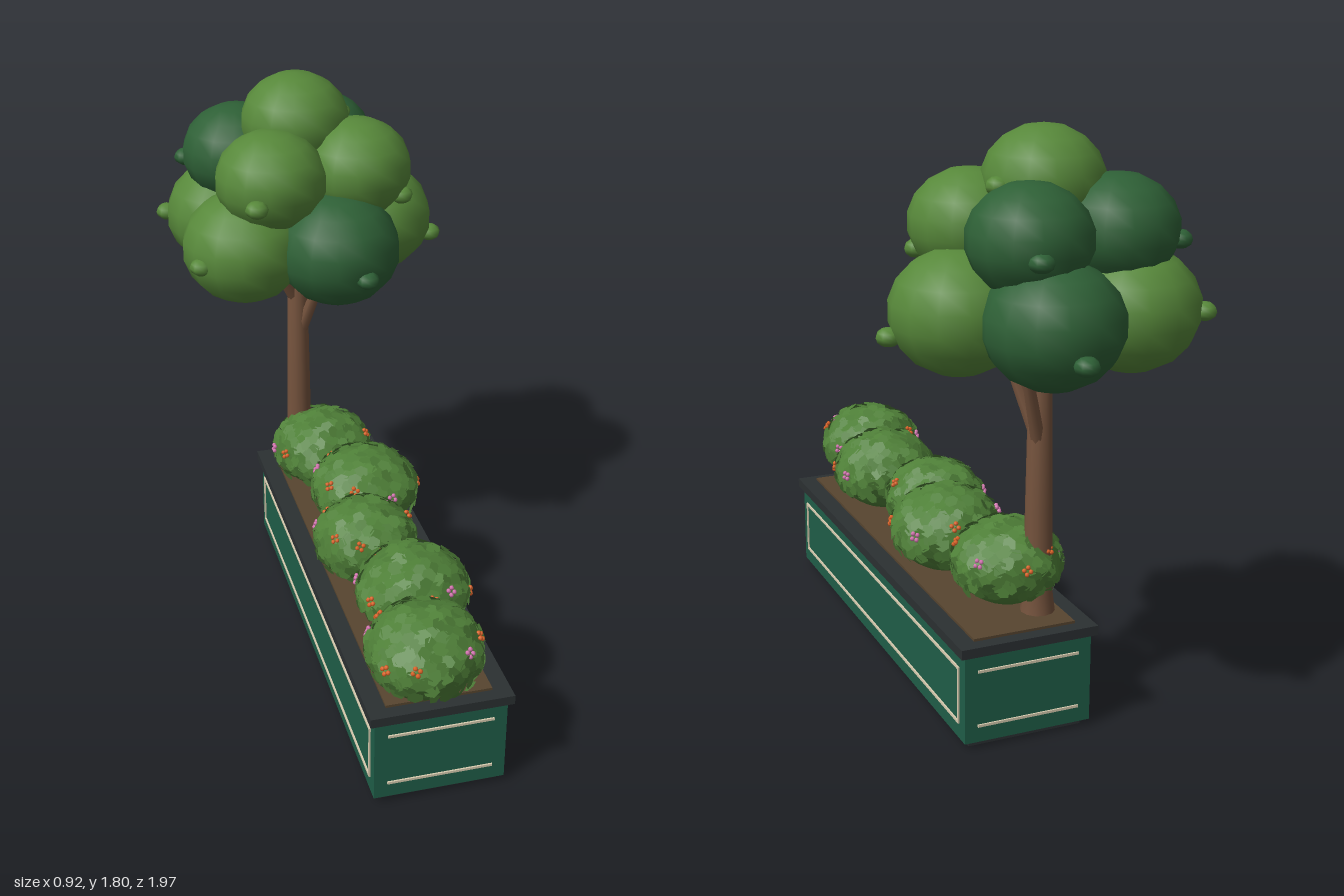
import * as THREE from 'three';
import { mergeGeometries } from 'three/addons/utils/BufferGeometryUtils.js';

const mat = (name, color, side = THREE.FrontSide) => {
  const m = new THREE.MeshStandardMaterial({ color, side });
  m.name = name;
  return m;
};

function makeRandom(seed) {
  let s = seed;
  return () => (s = (s * 16807) % 2147483647) / 2147483647;
}

export function createModel() {
  const M = {
    green: mat('planterGreen', 0x1f5e48),
    dark: mat('charcoal', 0x2b3032),
    cream: mat('cream', 0xd8ccb0),
    soil: mat('soil', 0x57452f),
    bark: mat('bark', 0x75533d),
    light: mat('lightFoliage', 0x57883a),
    deep: mat('darkFoliage', 0x2e6036),
    leaf: mat('bushLeaf', 0x4f8038, THREE.DoubleSide),
    orange: mat('orangeFlower', 0xe0662a),
    pink: mat('pinkFlower', 0xd877b4),
  };
  const root = new THREE.Group();
  root.name = 'planterWithTree';
  const rand = makeRandom(77);

  const add = (parent, name, geo, material, x = 0, y = 0, z = 0) => {
    const mesh = new THREE.Mesh(geo, material);
    mesh.name = name;
    mesh.position.set(x, y, z);
    parent.add(mesh);
    return mesh;
  };
  const box = (parent, name, material, w, h, d, x, y, z) =>
    add(parent, name, new THREE.BoxGeometry(w, h, d), material, x, y, z);

  // Planter box, centred on its own origin
  const planter = new THREE.Group();
  planter.name = 'planter';
  planter.position.set(0.065, 0, 0.132);
  root.add(planter);
  box(planter, 'base', M.dark, 0.365, 0.02, 1.495, 0, 0.01, 0);
  box(planter, 'body', M.green, 0.406, 0.28, 1.535, 0, 0.16, 0);
  box(planter, 'soil', M.soil, 0.325, 0.04, 1.48, 0, 0.318, 0);
  for (const s of [-1, 1]) {
    box(planter, 'rimSide', M.dark, 0.06, 0.03, 1.565, s * 0.189, 0.315, 0);
    box(planter, 'rimEnd', M.dark, 0.32, 0.03, 0.05, 0, 0.315, s * 0.7575);
    // Thin trim lines on the panels
    for (const y of [0.073, 0.247]) {
      box(planter, 'sideTrim', M.cream, 0.008, 0.008, 1.455, s * 0.204, y, 0);
      box(planter, 'endTrim', M.cream, 0.325, 0.008, 0.008, 0, y, s * 0.7685);
    }
    for (const e of [-1, 1])
      box(planter, 'sideTrimUpright', M.cream, 0.008, 0.182, 0.008, s * 0.204, 0.16, e * 0.7235);
  }

  // Tree trunk and branches
  const tree = new THREE.Group();
  tree.name = 'tree';
  tree.position.set(-0.03, 0, -0.49);
  root.add(tree);
  const profile = [[0.054, 0.33], [0.045, 0.4], [0.041, 0.65], [0.035, 1.06], [0, 1.06]]
    .map(([r, y]) => new THREE.Vector2(r, y));
  add(tree, 'trunk', new THREE.LatheGeometry(profile, 12), M.bark);
  const up = new THREE.Vector3(0, 1, 0);
  const branches = [
    [[0, 1.0, 0], [-0.14, 1.26, 0.07]],
    [[0.01, 0.88, -0.01], [0.11, 1.24, -0.09]],
    [[0.01, 0.9, 0.01], [0.1, 1.22, 0.1]],
    [[0, 1.02, 0], [0.02, 1.28, 0.0]],
  ];
  for (const [a, b] of branches) {
    const from = new THREE.Vector3(...a), to = new THREE.Vector3(...b);
    const dir = to.clone().sub(from);
    const branch = add(tree, 'branch', new THREE.CylinderGeometry(0.014, 0.023, dir.length(), 8), M.bark);
    branch.position.copy(from).add(to).multiplyScalar(0.5);
    branch.quaternion.setFromUnitVectors(up, dir.normalize());
  }

  // Canopy: lower ring of five, upper ring of four, one on top
  const ball = new THREE.SphereGeometry(1, 14, 9);
  const knob = new THREE.SphereGeometry(1, 8, 6);
  const clump = (material, x, y, z, r, h, knobDir) => {
    const g = new THREE.Group();
    g.name = 'foliageClump';
    g.position.set(x, y, z);
    tree.add(g);
    add(g, 'foliage', ball, material).scale.set(r, h, r);
    const [kx, ky, kz] = knobDir;
    add(g, 'foliageKnob', knob, material, kx, ky, kz).scale.set(0.038, 0.028, 0.038);
  };
  const ring = (count, start, radius, y, r, h, materials, knobs) => {
    for (let i = 0; i < count; i++) {
      const a = start + (i * Math.PI * 2) / count;
      clump(materials[i], radius * Math.cos(a), y, radius * Math.sin(a), r, h, knobs[i]);
    }
  };
  const { light, deep } = M;
  ring(5, 0, 0.255, 1.288, 0.203, 0.183, [light, deep, light, light, deep], [
    [0.195, -0.065, 0.04], [0.05, -0.04, 0.185], [-0.16, -0.015, 0.1],
    [-0.19, -0.01, -0.08], [0, -0.065, -0.2],
  ]);
  ring(4, 0.61, 0.21, 1.512, 0.18, 0.16, [light, light, deep, deep], [
    [0.13, -0.08, 0.08], [-0.08, -0.03, 0.165], [-0.16, -0.03, -0.07], [0.04, -0.03, -0.16],
  ]);
  clump(light, 0, 1.64, 0, 0.178, 0.16, [0.16, 0.0, -0.05]);

  // Flowering bushes: a rounded core covered in small overlapping leaves
  const bushes = [
    [0.035, 0.815, 1.0], [0.088, 0.515, 1.0], [0.022, 0.205, 0.95],
    [0.1, -0.085, 1.02], [0.03, -0.395, 0.98],
  ];
  const dummy = new THREE.Object3D();
  const core = new THREE.SphereGeometry(1, 18, 12);
  const leafShape = new THREE.CircleGeometry(0.023, 6);
  const petal = new THREE.SphereGeometry(0.0075, 6, 4);
  for (const [x, z, s] of bushes) {
    const bush = new THREE.Group();
    bush.name = 'bush';
    bush.position.set(x, 0.345 + 0.128 * s, z);
    bush.scale.setScalar(s);
    root.add(bush);
    const size = new THREE.Vector3(0.164, 0.13, 0.164);
    add(bush, 'bushCore', core, M.leaf).scale.copy(size);

    // Point on the bush surface, facing outward
    const place = (y, angle, lift) => {
      const r = Math.sqrt(1 - y * y);
      const n = new THREE.Vector3(r * Math.cos(angle), y, r * Math.sin(angle));
      dummy.position.copy(n).multiply(size).multiplyScalar(lift);
      dummy.scale.set(1, 1, 1);
      dummy.lookAt(dummy.position.clone().add(n.divide(size)));
      return dummy;
    };
    const leaves = [];
    const count = 250;
    for (let i = 0; i < count; i++) {
      place(1 - (1.5 * (i + 0.5)) / count, i * 2.39996, 1.03 + rand() * 0.035);
      dummy.rotateX((rand() - 0.5) * 0.6);
      dummy.rotateY((rand() - 0.5) * 0.6);
      dummy.rotateZ(rand() * Math.PI);
      dummy.scale.set(0.8 + rand() * 0.3, 0.9 + rand() * 0.3, 1);
      dummy.updateMatrix();
      leaves.push(leafShape.clone().applyMatrix4(dummy.matrix));
    }
    add(bush, 'bushLeaves', mergeGeometries(leaves), M.leaf);

    // Small flower clusters of four blossoms
    const blooms = { orange: [], pink: [] };
    for (let i = 0; i < 8; i++) {
      const y = 0.05 + rand() * 0.5, angle = (i + rand() * 0.7) * Math.PI / 4;
      const list = i % 3 === 1 ? blooms.pink : blooms.orange;
      for (let k = 0; k < 4; k++) {
        const t = (k * Math.PI) / 2 + i;
        place(y, angle, 1.08);
        dummy.translateX(Math.cos(t) * 0.011);
        dummy.translateY(Math.sin(t) * 0.011);
        dummy.updateMatrix();
        list.push(petal.clone().applyMatrix4(dummy.matrix));
      }
    }
    add(bush, 'orangeFlowers', mergeGeometries(blooms.orange), M.orange);
    add(bush, 'pinkFlowers', mergeGeometries(blooms.pink), M.pink);
  }
  return root;
}
